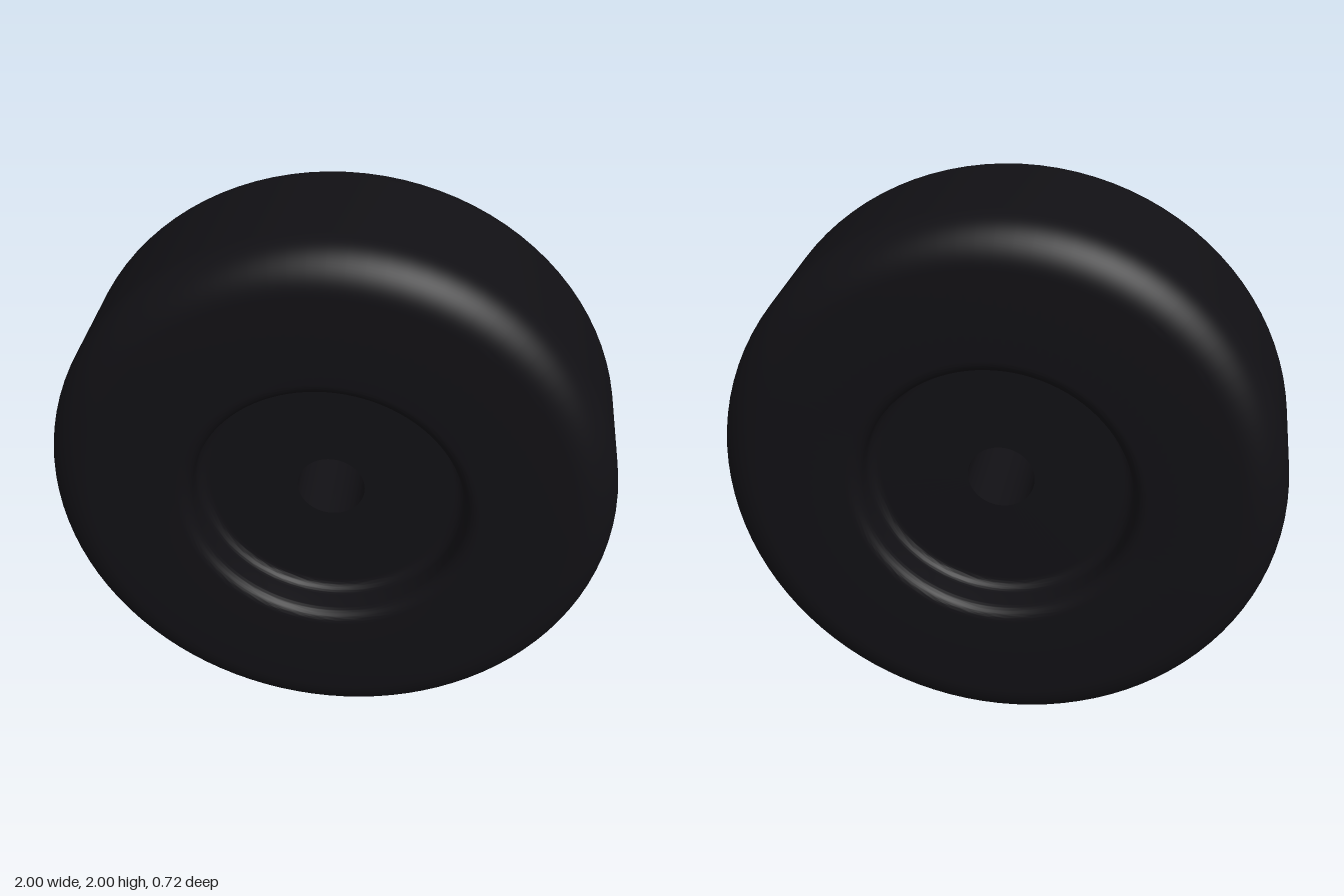
import * as THREE from 'three';
import { toCreasedNormals } from 'three/addons/utils/BufferGeometryUtils.js';

const R = 1, HALF = 0.36;          // outer radius, half width
const SHOULDER = 0.155;            // rounding between tread and sidewall
const WALL = 0.48, FLOOR = 0.21;   // hub recess radius, half thickness of the hub
const LIP = 0.05, FILLET = 0.04;   // rounding at the top and bottom of the recess wall
const BORE = 0.12;

// Spin a (radius, axis) profile around the z axis
function spin(name, points, material) {
  const lathe = new THREE.LatheGeometry(points, 96).rotateX(Math.PI / 2);
  const mesh = new THREE.Mesh(toCreasedNormals(lathe, Math.PI / 5), material);
  mesh.name = name;
  mesh.position.y = R;
  return mesh;
}

// Front half of the tyre profile, from the tread inward to the hub
function tyreHalf() {
  const p = new THREE.Path();
  p.moveTo(R, HALF - SHOULDER);
  p.absarc(R - SHOULDER, HALF - SHOULDER, SHOULDER, 0, Math.PI / 2, false);
  p.lineTo(WALL + LIP, HALF);
  p.absarc(WALL + LIP, HALF - LIP, LIP, Math.PI / 2, Math.PI, false);
  p.lineTo(WALL, FLOOR + FILLET);
  p.absarc(WALL - FILLET, FLOOR + FILLET, FILLET, 0, -Math.PI / 2, true);
  return p.getPoints(10);
}

export function createModel() {
  const model = new THREE.Group();
  model.name = 'wheel';
  const rubber = new THREE.MeshStandardMaterial({ color: 0x111014 });

  // Tyre: the half profile mirrored to the back
  const front = tyreHalf();
  const back = front.map((v) => new THREE.Vector2(v.x, -v.y)).reverse();
  model.add(spin('tyre', [...back, ...front], rubber));

  // Hub disc with a through bore
  const edge = WALL - FILLET;
  const hub = [[edge, FLOOR], [BORE, FLOOR], [BORE, -FLOOR], [edge, -FLOOR]];
  model.add(spin('hub', hub.map(([r, z]) => new THREE.Vector2(r, z)), rubber));

  return model;
}
